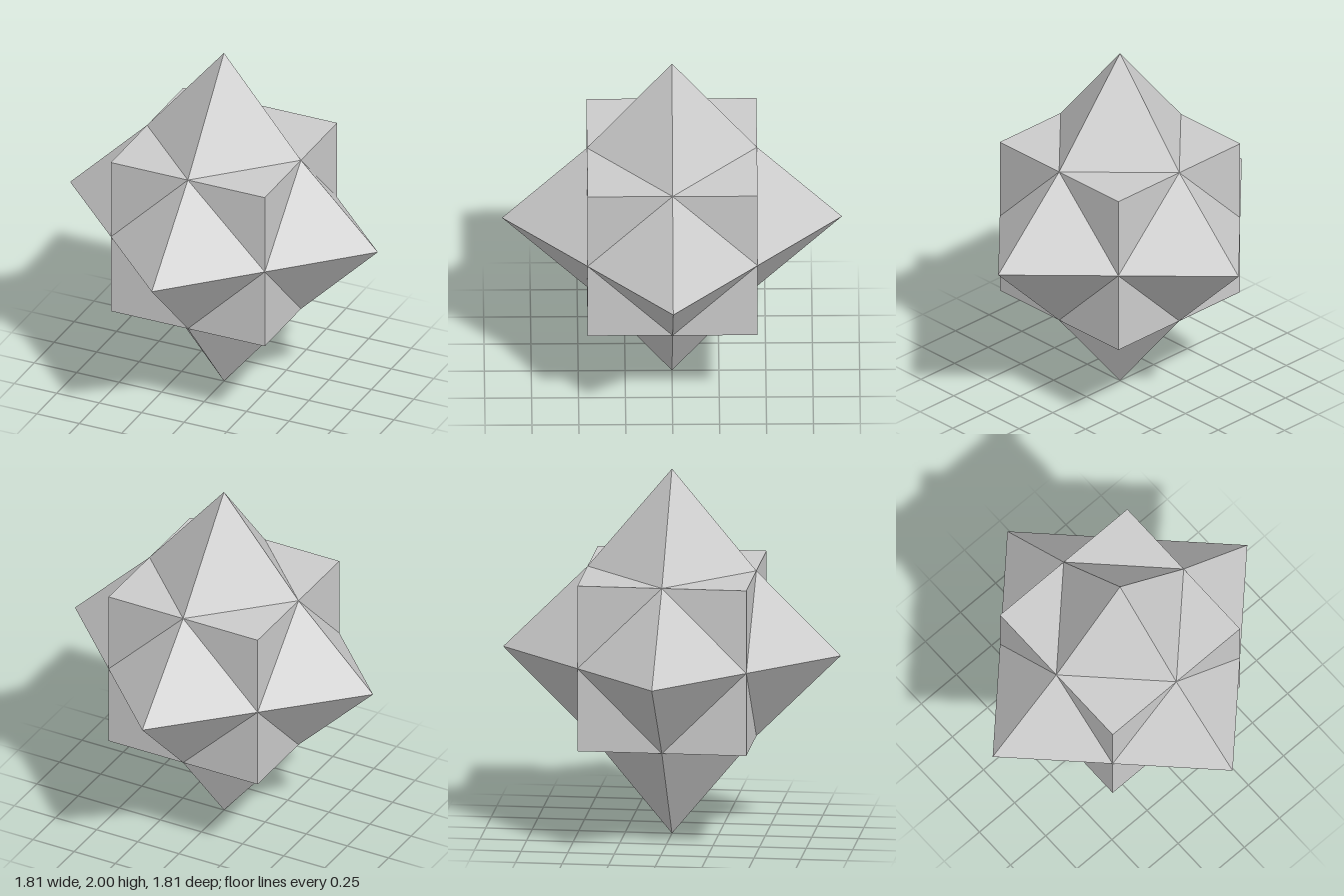
import * as THREE from 'three';

const HALF = 0.453;      // half the cube's side
const SIDE_TIP = 0.906;  // tip distance along x and z
const END_TIP = 1;       // tip distance along y

export function createModel() {
  const group = new THREE.Group();
  const material = new THREE.MeshStandardMaterial({ color: 0xcccccc, flatShading: true });

  // Central cube
  const cube = new THREE.Mesh(new THREE.BoxGeometry(2 * HALF, 2 * HALF, 2 * HALF), material);
  cube.name = 'cube';
  cube.position.y = 1;
  group.add(cube);

  // One four-sided point on each face, its base corners at the edge midpoints
  const up = new THREE.Vector3(0, 1, 0);
  const points = [
    ['topPoint', 0, 1, 0], ['bottomPoint', 0, -1, 0],
    ['leftPoint', 1, 0, 0], ['rightPoint', -1, 0, 0],
    ['frontPoint', 0, 0, 1], ['backPoint', 0, 0, -1],
  ];
  for (const [name, x, y, z] of points) {
    const dir = new THREE.Vector3(x, y, z);
    const height = (y ? END_TIP : SIDE_TIP) - HALF;
    const point = new THREE.Mesh(new THREE.ConeGeometry(HALF, height, 4, 1, true), material);
    point.name = name;
    point.quaternion.setFromUnitVectors(up, dir);
    point.position.copy(dir).multiplyScalar(HALF + height / 2).add(up);
    group.add(point);
  }
  return group;
}
